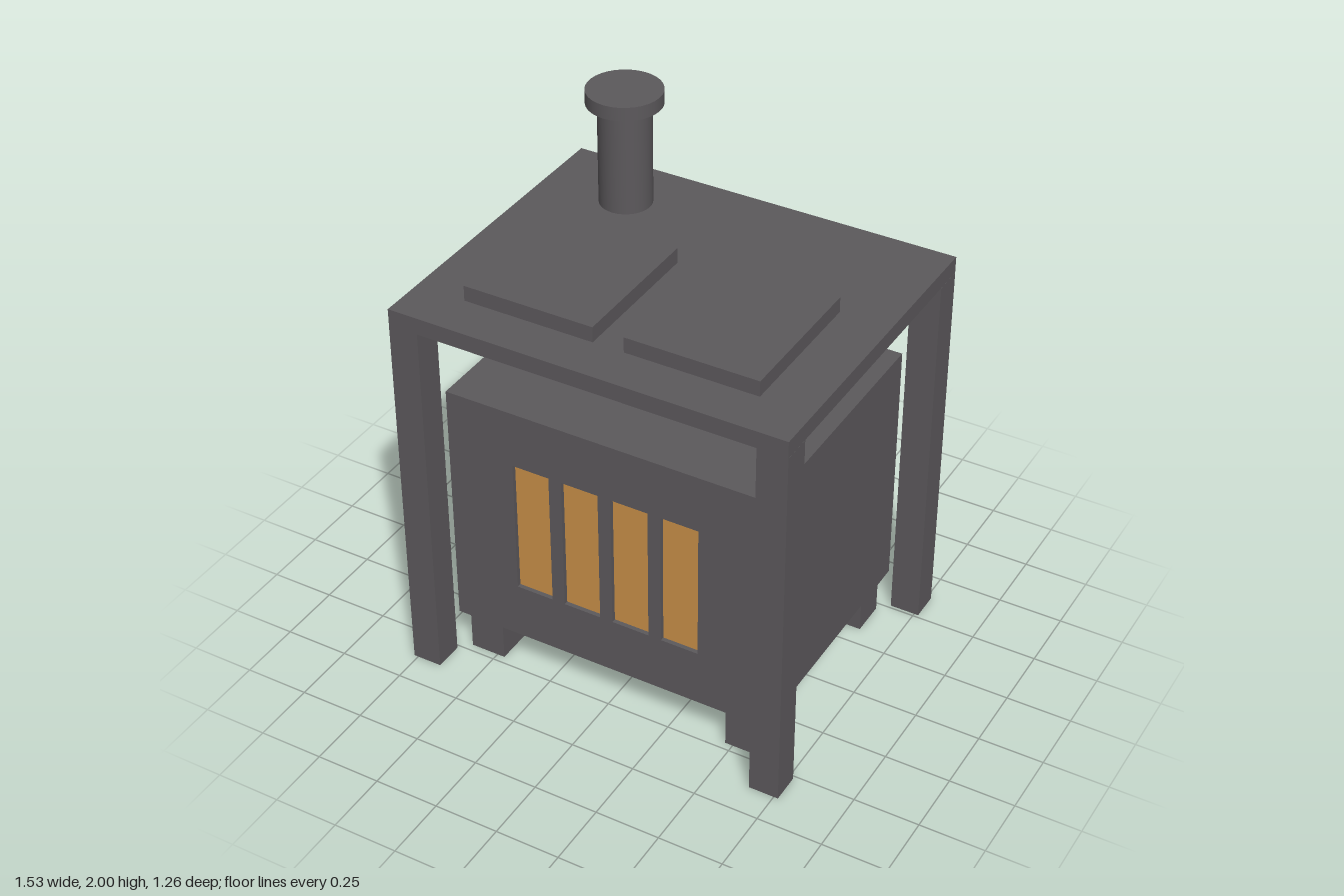
import * as THREE from 'three';

export function createModel() {
  const model = new THREE.Group();
  model.name = 'stove';

  const iron = new THREE.MeshStandardMaterial({ color: 0x5c595c });
  iron.name = 'dark iron';
  const glow = new THREE.MeshStandardMaterial({ color: 0xc98f48 });
  glow.name = 'fire orange';

  const add = (name, geometry, material = iron) => {
    const mesh = new THREE.Mesh(geometry, material);
    mesh.name = name;
    model.add(mesh);
    return mesh;
  };
  // Box given by its minimum and maximum corners
  const box = (name, [x0, y0, z0], [x1, y1, z1], material) =>
    add(name, new THREE.BoxGeometry(x1 - x0, y1 - y0, z1 - z0), material)
      .position.set((x0 + x1) / 2, (y0 + y1) / 2, (z0 + z1) / 2);
  const rectangle = (path, x0, y0, x1, y1) =>
    path.moveTo(x0, y0).lineTo(x1, y0).lineTo(x1, y1).lineTo(x0, y1).closePath();

  // Firebox, with a front panel cut by four recessed openings
  const recess = 0.48;
  box('firebox', [-0.64, 0.175, -0.5], [0.64, 1.17, recess]);
  const panel = rectangle(new THREE.Shape(), -0.64, 0.175, 0.64, 1.17);
  for (let i = 0; i < 4; i++) {
    const x = -0.3 + i * 0.199;
    panel.holes.push(rectangle(new THREE.Path(), x - 0.074, 0.4, x + 0.074, 0.945));
    box('fireWindow', [x - 0.074, 0.4, recess], [x + 0.074, 0.945, recess + 0.003], glow);
  }
  add('frontPanel', new THREE.ExtrudeGeometry(panel, { depth: 0.5 - recess, bevelEnabled: false }))
    .position.z = recess;

  // Firebox feet and the tall frame legs, one of each per corner
  for (const sx of [-1, 1]) {
    for (const sz of [-1, 1]) {
      add('foot', new THREE.BoxGeometry(0.14, 0.175, 0.14))
        .position.set(sx * 0.54, 0.0875, sz * 0.4);
      add('frameLeg', new THREE.BoxGeometry(0.115, 1.48, 0.115))
        .position.set(sx * 0.709, 0.74, sz * 0.57);
    }
    // Hot plates
    add('hotPlate', new THREE.BoxGeometry(0.51, 0.06, 0.57))
      .position.set(sx * 0.315, 1.575, 0.17);
  }

  // Worktop
  box('worktop', [-0.766, 1.48, -0.628], [0.766, 1.545, 0.628]);

  // Chimney pipe and its cap
  add('chimney', new THREE.CylinderGeometry(0.099, 0.099, 0.77, 32))
    .position.set(-0.43, 1.563, -0.387);
  add('chimneyCap', new THREE.CylinderGeometry(0.141, 0.141, 0.053, 32))
    .position.set(-0.43, 1.9735, -0.387);

  return model;
}
